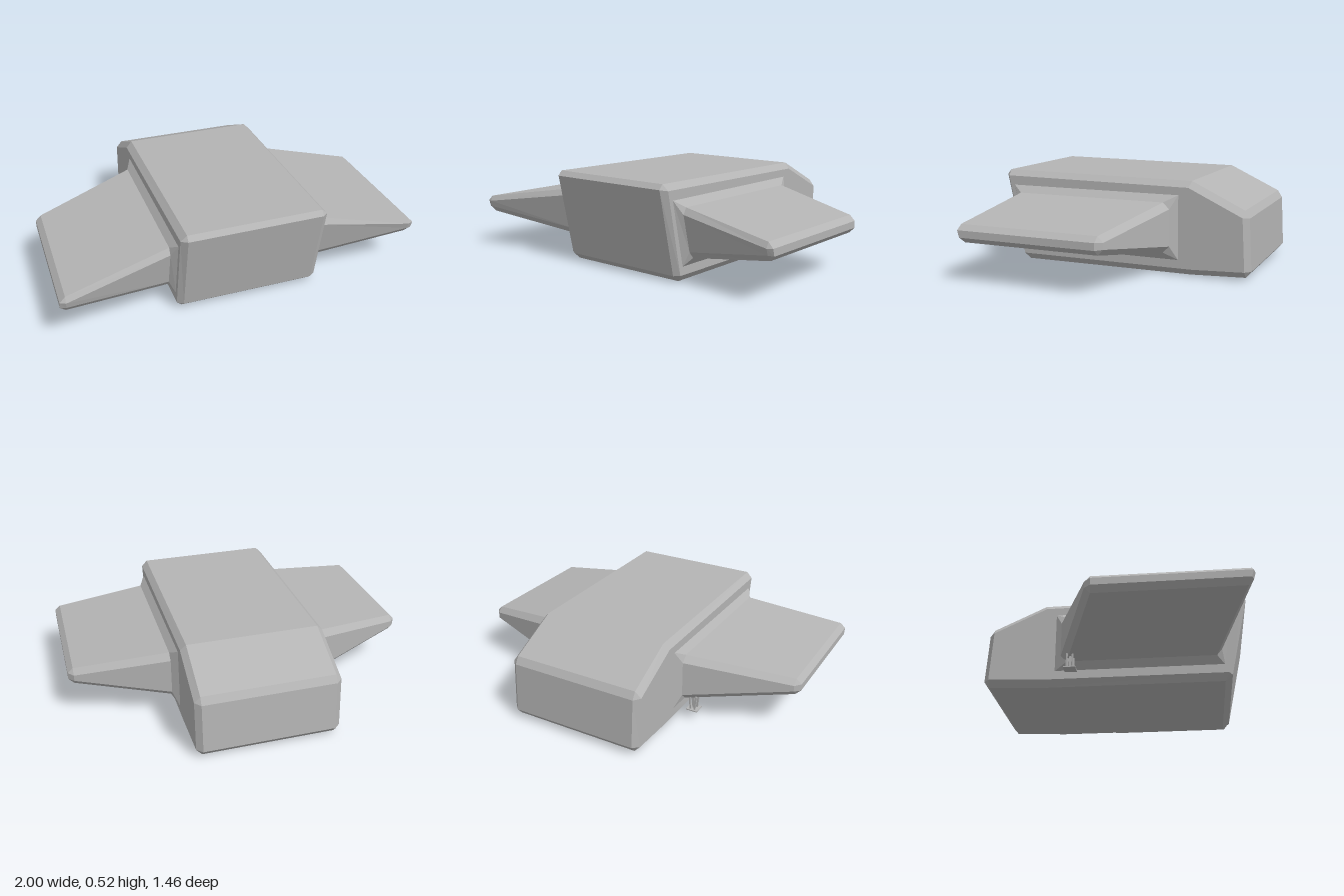
import * as THREE from 'three';

// Skins cross-sections { x, pts: [[z, y], ...] } ordered by rising x, with capped ends
function loft(sections) {
  const pos = [];
  const put = (s, j) => {
    const [z, y] = s.pts[j % s.pts.length];
    pos.push(s.x, y, z);
  };
  const n = sections[0].pts.length;
  for (let i = 0; i < sections.length - 1; i++) {
    const a = sections[i], b = sections[i + 1];
    for (let j = 0; j < n; j++) {
      put(a, j); put(b, j); put(a, j + 1);
      put(a, j + 1); put(b, j); put(b, j + 1);
    }
  }
  const first = sections[0], last = sections[sections.length - 1];
  for (let j = 1; j < n - 1; j++) {
    put(first, 0); put(first, j); put(first, j + 1);
    put(last, 0); put(last, j + 1); put(last, j);
  }
  const geo = new THREE.BufferGeometry();
  geo.setAttribute('position', new THREE.Float32BufferAttribute(pos, 3));
  geo.computeVertexNormals();
  return geo;
}

// Four-cornered section with each corner doubled, to meet eight-sided ones
const quad = (ft, bt, bb, fb) => [ft, bt, bt, bb, bb, fb, fb, ft];

export function createModel() {
  const group = new THREE.Group();
  const grey = new THREE.MeshStandardMaterial({ color: 0xb4b4b4 });
  const add = (name, geo, parent = group) => {
    const mesh = new THREE.Mesh(geo, grey);
    mesh.name = name;
    parent.add(mesh);
    return mesh;
  };

  // Hull: side profile with bevelled edges
  const outer = [[0.705, 0.517], [-0.4, 0.508], [-0.69, 0.37], [-0.715, 0.33], [-0.73, 0.05],
    [-0.7, 0.015], [-0.4, 0.002], [0.59, 0], [0.63, 0.035], [0.728, 0.49]];
  const inner = [[0.7, 0.485], [-0.39, 0.475], [-0.685, 0.335], [-0.685, 0.335], [-0.7, 0.05],
    [-0.7, 0.05], [-0.41, 0.037], [0.61, 0.037], [0.61, 0.037], [0.7, 0.485]];
  add('hull', loft([
    { x: -0.38, pts: inner }, { x: -0.347, pts: outer },
    { x: 0.39, pts: outer }, { x: 0.422, pts: inner },
  ]));

  // Wings: flared collar, eight-sided root, thin bevelled tip
  const collar = quad([0.665, 0.433], [-0.335, 0.433], [-0.335, 0.083], [0.592, 0.083]);
  const root = [[0.605, 0.395], [-0.262, 0.395], [-0.297, 0.36], [-0.297, 0.16],
    [-0.262, 0.125], [0.55, 0.125], [0.578, 0.16], [0.625, 0.36]];
  const wing = (name, side, hullX, front, back) => {
    const tip = [[front - 0.015, 0.307], [back + 0.03, 0.307], [back, 0.277], [back, 0.243],
      [back + 0.03, 0.212], [front - 0.035, 0.212], [front - 0.01, 0.243], [front, 0.277]];
    const end = quad([front - 0.01, 0.279], [back + 0.033, 0.279],
      [back + 0.033, 0.241], [front - 0.02, 0.241]);
    const sections = [
      { x: side * (hullX - 0.01), pts: collar }, { x: side * hullX, pts: collar },
      { x: side * (hullX + 0.034), pts: root },
      { x: side * 0.97, pts: tip }, { x: side, pts: end },
    ];
    if (side < 0) sections.reverse();
    add(name, loft(sections));
  };
  wing('leftWing', 1, 0.422, 0.657, -0.162);
  wing('rightWing', -1, 0.378, 0.73, -0.09);

  // Small stand under the right wing
  const stand = new THREE.Group();
  stand.name = 'stand';
  stand.position.set(-0.457, 0, -0.235);
  group.add(stand);
  add('standFoot', new THREE.BoxGeometry(0.066, 0.006, 0.066), stand).position.y = 0.058;
  for (const sx of [-1, 1]) {
    for (const sz of [-1, 1]) {
      const post = add('standPost', new THREE.BoxGeometry(0.009, 0.085, 0.009), stand);
      post.position.set(sx * 0.016, 0.1, sz * 0.016);
      post.rotation.z = -sx * 0.1;
    }
  }
  add('standCore', new THREE.BoxGeometry(0.01, 0.085, 0.01), stand).position.y = 0.1;

  return group;
}
